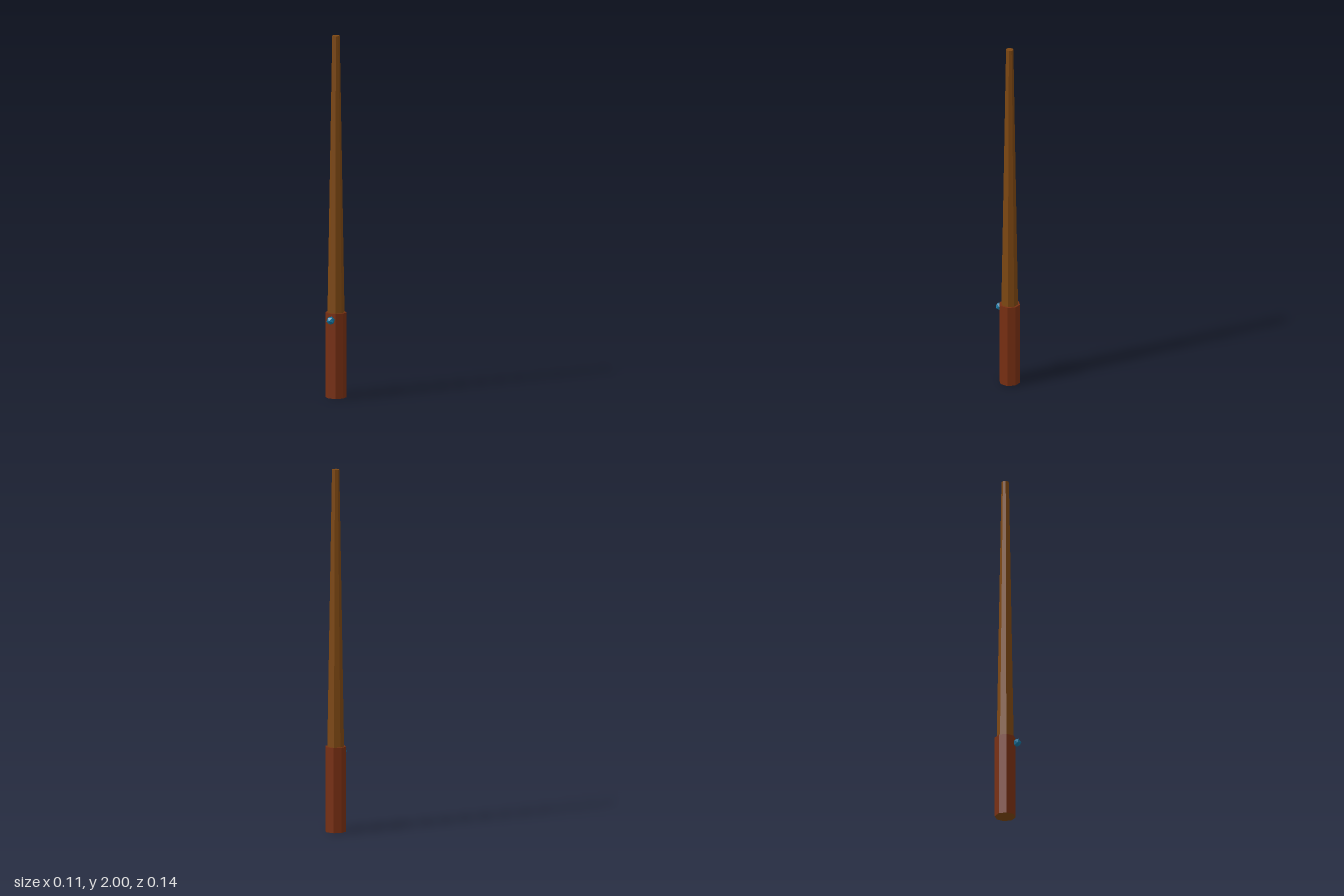
import * as THREE from 'three';

const material = (name, color) => {
  const m = new THREE.MeshStandardMaterial({ color, flatShading: true });
  m.name = name;
  return m;
};

export function createModel() {
  const model = new THREE.Group();
  model.name = 'wand';
  const shaftWood = material('brown wood', 0x7d4712);
  const handleWood = material('red-brown wood', 0x782f12);
  const gemBlue = material('blue gem', 0x14749f);
  const axisZ = -0.02;

  // Eight-sided section standing on y0, with flats facing the four sides
  const octagon = (name, rTop, rBottom, y0, y1, mat) => {
    const g = new THREE.CylinderGeometry(rTop, rBottom, y1 - y0, 8);
    g.rotateY(Math.PI / 8);
    const mesh = new THREE.Mesh(g, mat);
    mesh.name = name;
    mesh.position.set(0, (y0 + y1) / 2, axisZ);
    model.add(mesh);
  };

  // Handle with a wood-coloured base, and the long tapering shaft
  octagon('handle', 0.0573, 0.0573, 0, 0.47, [handleWood, handleWood, shaftWood]);
  octagon('shaft', 0.0205, 0.0465, 0.46, 2, shaftWood);

  // Faceted gem on the front of the handle, one corner pointing forward
  const gemShape = new THREE.IcosahedronGeometry(0.0235, 0);
  gemShape.rotateX(Math.atan(2 / (1 + Math.sqrt(5))));
  const gem = new THREE.Mesh(gemShape, gemBlue);
  gem.name = 'gem';
  gem.position.set(0, 0.435, 0.0465);
  model.add(gem);

  return model;
}
